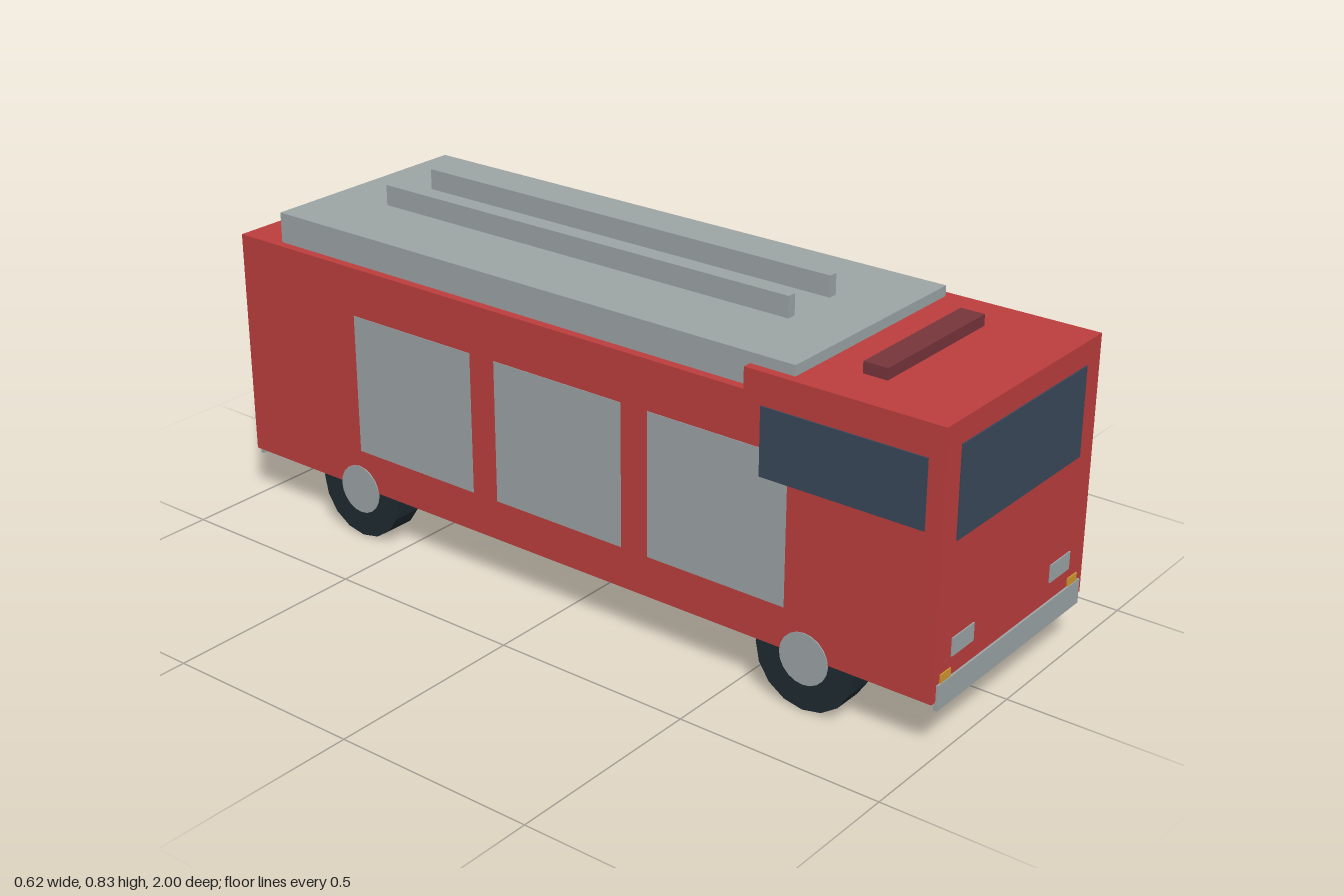
import * as THREE from 'three';

const material = (name, color) => {
  const m = new THREE.MeshStandardMaterial({ color });
  m.name = name;
  return m;
};

export function createModel() {
  const truck = new THREE.Group();
  truck.name = 'fireTruck';

  const red = material('bodyRed', 0xbc3d3d);
  const grey = material('metalGrey', 0x9ca4a5);
  const glass = material('windowBlue', 0x3a485a);
  const rubber = material('tyreBlack', 0x1f2b31);
  const amber = material('indicatorAmber', 0xcf9630);
  const maroon = material('lightBarMaroon', 0x76353b);

  // Box given by its extents on each axis
  const box = (name, mat, [x0, x1], [y0, y1], [z0, z1]) => {
    const mesh = new THREE.Mesh(new THREE.BoxGeometry(x1 - x0, y1 - y0, z1 - z0), mat);
    mesh.position.set((x0 + x1) / 2, (y0 + y1) / 2, (z0 + z1) / 2);
    mesh.name = name;
    truck.add(mesh);
  };
  // Extents mirrored to one side (s = 1 or -1)
  const side = (s, a, b) => (s > 0 ? [a, b] : [-b, -a]);

  // Bodywork: stepped side profile of cab and rear body, extruded across the width
  const W = 0.309, L = 0.995;
  const profile = new THREE.Shape([
    [-L, 0.13], [L, 0.13], [L, 0.75], [0.51, 0.75], [0.51, 0.7], [-L, 0.7],
  ].map(([z, y]) => new THREE.Vector2(-z, y)).reverse());
  const bodyGeo = new THREE.ExtrudeGeometry(profile, { depth: 2 * W, bevelEnabled: false });
  bodyGeo.translate(0, 0, -W).rotateY(Math.PI / 2);
  const body = new THREE.Mesh(bodyGeo, red);
  body.name = 'body';
  truck.add(body);

  // Roof deck, ladder rails and light bar
  box('roofDeck', grey, [-0.287, 0.287], [0.695, 0.775], [-0.877, 0.623]);
  box('lightBar', maroon, [-0.188, 0.188], [0.745, 0.777], [0.72, 0.78]);

  // Windscreen and rear hatch with its round cover
  box('windscreen', glass, [-0.25, 0.25], [0.483, 0.695], [L - 0.004, L + 0.003]);
  box('rearHatch', grey, [-0.19, 0.19], [0.27, 0.54], [-L - 0.002, -L + 0.004]);
  const cover = new THREE.Mesh(new THREE.CylinderGeometry(0.075, 0.075, 0.006, 24), grey);
  cover.rotation.x = Math.PI / 2;
  cover.position.set(0, 0.405, -L - 0.002);
  cover.name = 'hatchCover';
  truck.add(cover);

  // Bumpers
  box('frontBumper', grey, [-0.294, 0.294], [0.11, 0.17], [L - 0.004, 1]);
  box('rearBumper', grey, [-0.294, 0.294], [0.11, 0.167], [-1, -L + 0.004]);

  const tyreGeo = new THREE.CylinderGeometry(0.125, 0.125, 0.075, 16).toNonIndexed();
  tyreGeo.computeVertexNormals();
  const hubGeo = new THREE.CylinderGeometry(0.062, 0.062, 0.081, 20);

  for (const s of [1, -1]) {
    box('ladderRail', grey, side(s, 0.066, 0.089), [0.77, 0.826], [-0.715, 0.465]);

    // Side window and three roller shutters
    box('sideWindow', glass, side(s, W - 0.004, W + 0.003), [0.515, 0.675], [0.555, 0.957]);
    for (const z of [0.442, 0.002, -0.438])
      box('sideShutter', grey, side(s, W - 0.004, W + 0.0015), [0.23, 0.58], [z - 0.183, z + 0.183]);

    // Lamps
    box('headlight', grey, side(s, 0.158, 0.243), [0.215, 0.258], [L - 0.004, L + 0.003]);
    box('frontIndicator', amber, side(s, 0.243, 0.283), [0.16, 0.19], [L - 0.004, L + 0.003]);
    box('tailLight', red, side(s, 0.172, 0.245), [0.227, 0.275], [-L - 0.004, -L + 0.004]);
    box('rearIndicator', amber, side(s, 0.252, 0.291), [0.16, 0.2], [-L - 0.003, -L + 0.004]);

    // Wheels: tyre with a hub showing on both faces
    for (const z of [0.68, -0.63]) {
      const wheel = new THREE.Group();
      wheel.name = 'wheel';
      const tyre = new THREE.Mesh(tyreGeo, rubber);
      tyre.name = 'tyre';
      const hub = new THREE.Mesh(hubGeo, grey);
      hub.name = 'hub';
      wheel.add(tyre, hub);
      wheel.rotation.z = Math.PI / 2;
      wheel.position.set(s * 0.271, 0.125, z);
      truck.add(wheel);
    }
  }
  return truck;
}
